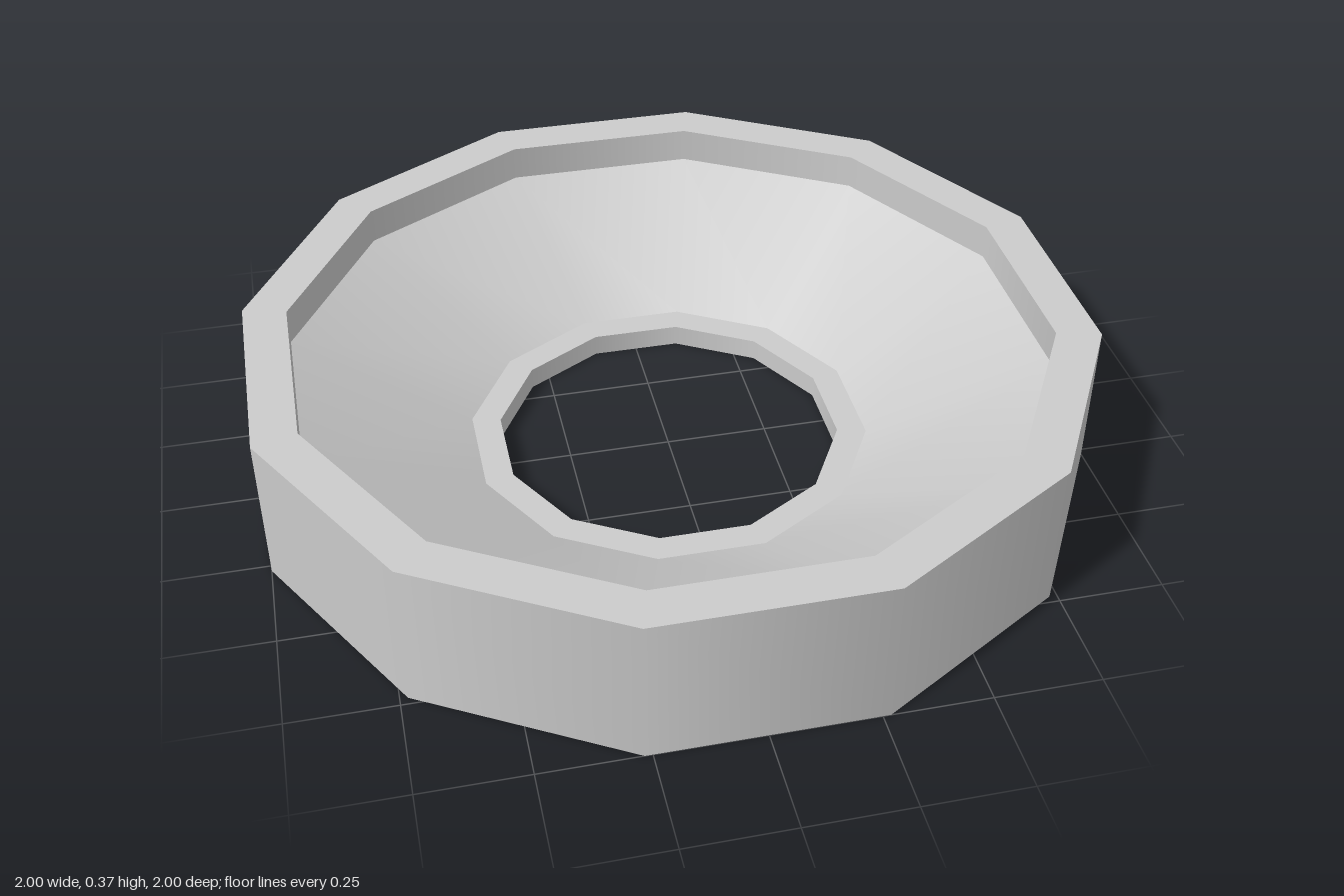
import * as THREE from 'three';

const SIDES = 12;
// The profile is measured to the flats, so scale out to the corners
const TO_CORNER = 1 / Math.cos(Math.PI / SIDES);

export function createModel() {
  const group = new THREE.Group();
  group.name = 'dishRing';
  const material = new THREE.MeshStandardMaterial({ color: 0xcccccc, side: THREE.DoubleSide });

  // One band of the sheet: smooth around, with sharp edges to its neighbours
  function band(name, from, to) {
    const points = [from, to].map(([r, y]) => new THREE.Vector2(r * TO_CORNER, y));
    const geometry = new THREE.LatheGeometry(points, SIDES, Math.PI / SIDES);
    const mesh = new THREE.Mesh(geometry, material);
    mesh.name = name;
    group.add(mesh);
  }

  // Thin-sheet profile from the outer foot, over the rim, down to the hole
  const profile = [[1, 0], [1, 0.37], [0.895, 0.37], [0.895, 0.28], [0.477, 0.055], [0.408, 0.055], [0.408, 0]];
  const names = ['outerWall', 'topRim', 'innerLip', 'slopedDish', 'holeLedge', 'holeCollar'];
  names.forEach((name, i) => band(name, profile[i], profile[i + 1]));

  return group;
}
